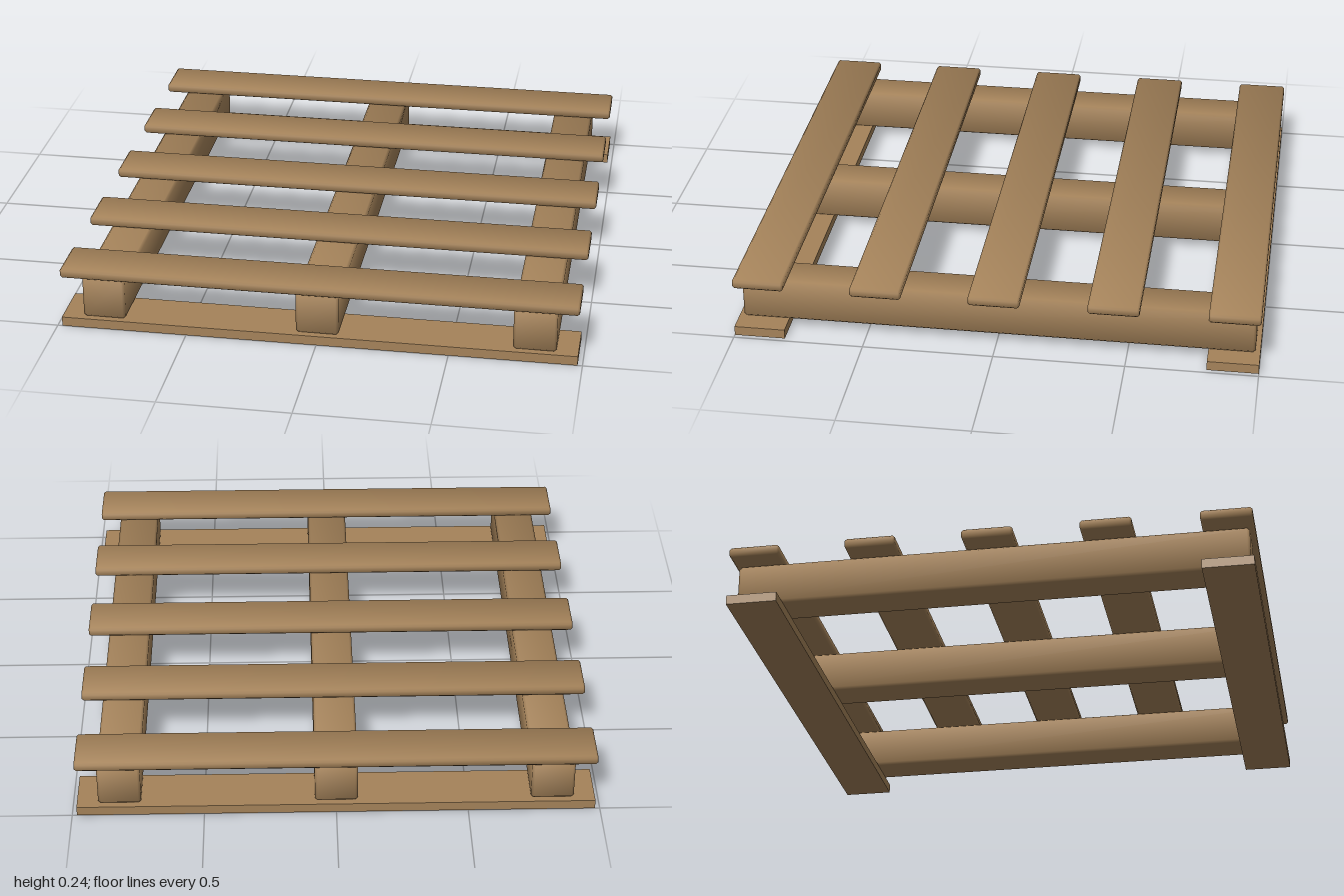
import * as THREE from 'three';
import { ConvexGeometry } from 'three/addons/geometries/ConvexGeometry.js';

const wood = new THREE.MeshStandardMaterial({ color: 0xa5835a });
wood.name = 'wood';

// Box with chamfered edges and normals blended softly across them
function chamferedBox(w, h, d, bevel) {
  const half = [w / 2, h / 2, d / 2];
  const points = [];
  for (const sx of [-1, 1]) for (const sy of [-1, 1]) for (const sz of [-1, 1]) {
    for (let axis = 0; axis < 3; axis++) {
      const p = [sx, sy, sz].map((s, i) => s * (half[i] - (i === axis ? 0 : bevel)));
      points.push(new THREE.Vector3(...p));
    }
  }
  const geometry = new ConvexGeometry(points);
  const pos = geometry.attributes.position;
  const n = new THREE.Vector3();
  for (let i = 0; i < pos.count; i++) {
    const p = [pos.getX(i), pos.getY(i), pos.getZ(i)];
    n.set(...p.map((v, a) => Math.sign(v) * (Math.abs(v) > half[a] - bevel / 2 ? 2.8 : 1.09)));
    n.normalize();
    geometry.attributes.normal.setXYZ(i, n.x, n.y, n.z);
  }
  return geometry;
}

export function createModel() {
  const model = new THREE.Group();
  model.name = 'pallet';

  function add(name, geometry, x, y, z) {
    const mesh = new THREE.Mesh(geometry, wood);
    mesh.name = name;
    mesh.position.set(x, y, z);
    model.add(mesh);
  }

  // Five slats across the top
  const slat = chamferedBox(1.964, 0.038, 0.195, 0.008);
  for (const z of [-0.9025, -0.451, 0, 0.451, 0.9025]) add('topSlat', slat, 0, 0.223, z);

  // Three beams running front to back
  const beam = chamferedBox(0.163, 0.163, 1.964, 0.01);
  for (const x of [-0.82, 0, 0.82]) add('beam', beam, x, 0.118, 0);

  // Two square-edged boards underneath
  const board = new THREE.BoxGeometry(1.964, 0.037, 0.195);
  for (const z of [-0.9025, 0.9025]) add('bottomBoard', board, 0, 0.0185, z);

  return model;
}
